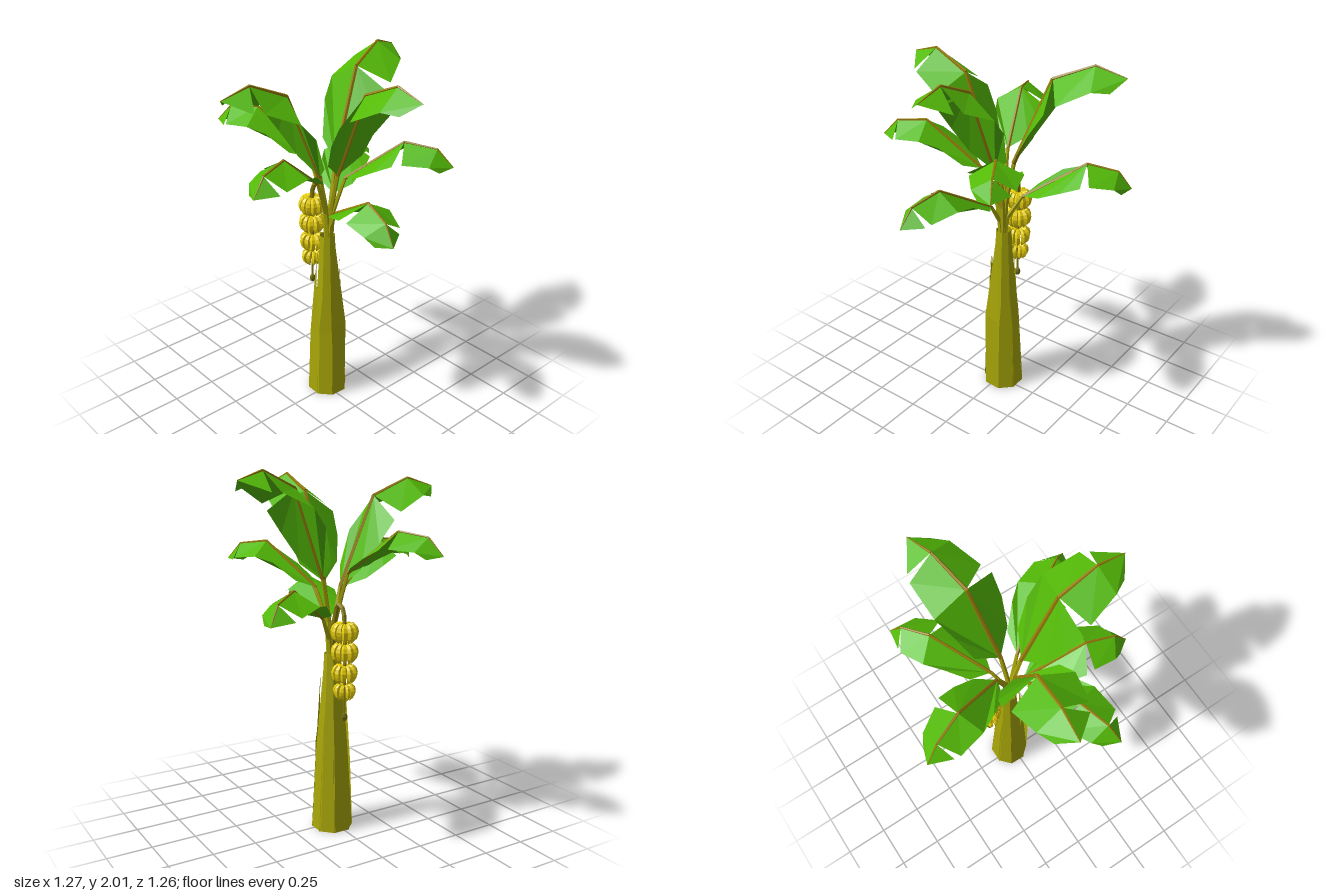
import * as THREE from 'three';

const V = (x, y, z) => new THREE.Vector3(x, y, z);
const mat = (name, color, side = THREE.FrontSide) => {
  const m = new THREE.MeshStandardMaterial({ color, side, flatShading: true });
  m.name = name;
  return m;
};

// Flat-sided surface from convex polygons, each drawn as a fan
function fanGeometry(polygons) {
  const pos = [];
  for (const p of polygons)
    for (let i = 1; i < p.length - 1; i++)
      for (const v of [p[0], p[i], p[i + 1]]) pos.push(v.x, v.y, v.z);
  const g = new THREE.BufferGeometry();
  g.setAttribute('position', new THREE.Float32BufferAttribute(pos, 3));
  g.computeVertexNormals();
  return g;
}

// Tube whose radius follows a list of values along the path
function taperTube(points, radii, segments, sides) {
  const curve = new THREE.CatmullRomCurve3(points);
  const g = new THREE.TubeGeometry(curve, segments, 1, sides);
  const pos = g.attributes.position, v = V(0, 0, 0);
  for (let i = 0; i <= segments; i++) {
    const c = curve.getPointAt(i / segments);
    const f = (i / segments) * (radii.length - 1);
    const k = Math.min(Math.floor(f), radii.length - 2);
    const r = THREE.MathUtils.lerp(radii[k], radii[k + 1], f - k);
    for (let j = 0; j <= sides; j++) {
      const n = i * (sides + 1) + j;
      v.fromBufferAttribute(pos, n).sub(c).multiplyScalar(r).add(c);
      pos.setXYZ(n, v.x, v.y, v.z);
    }
  }
  g.computeVertexNormals();
  return g;
}

export function createModel() {
  const root = new THREE.Group();
  const leafGreen = mat('leafGreen', 0x54ba06, THREE.DoubleSide);
  const barkOlive = mat('barkOlive', 0xa8a608, THREE.DoubleSide);
  const ribBrown = mat('ribBrown', 0x967c0c);
  const stemOlive = mat('stemOlive', 0x8a7e10);
  const fruitYellow = mat('fruitYellow', 0xe8d00a);
  const budOlive = mat('budOlive', 0x6e6a12);

  const add = (parent, name, geometry, material) => {
    const m = new THREE.Mesh(geometry, material);
    m.name = name;
    parent.add(m);
    return m;
  };
  const rod = (parent, name, a, b, ra, rb, material) => {
    const d = b.clone().sub(a);
    const m = add(parent, name, new THREE.CylinderGeometry(rb, ra, d.length(), 5), material);
    m.position.copy(a).addScaledVector(d, 0.5);
    m.quaternion.setFromUnitVectors(V(0, 1, 0), d.normalize());
  };

  // Trunk core, open at the bottom
  const trunk = new THREE.Group();
  trunk.name = 'trunk';
  trunk.position.set(-0.02, 0, -0.02);
  root.add(trunk);
  const core = add(trunk, 'trunkCore', new THREE.CylinderGeometry(0.043, 0.098, 1.02, 8, 1, true), barkOlive);
  core.position.y = 0.51;
  core.rotation.y = Math.PI / 8;

  // Overlapping flat pointed sheaths: [angle, half width, tip height, middle radius, tip radius]
  const sheaths = [
    [0.05, 0.42, 1.0, 0.118, 0.065], [0.85, 0.42, 0.86, 0.095, 0.075], [1.6, 0.42, 0.84, 0.102, 0.085],
    [2.4, 0.42, 1.02, 0.086, 0.05], [3.15, 0.44, 0.97, 0.086, 0.042], [3.95, 0.42, 1.02, 0.086, 0.05],
    [4.7, 0.44, 1.02, 0.088, 0.046], [5.5, 0.42, 0.9, 0.094, 0.065],
  ];
  for (const [a, w, h, midR, tipR] of sheaths) {
    const at = (t, r, y) => V(Math.cos(a + t) * r, y, Math.sin(a + t) * r);
    const left = at(-w, midR, h * 0.48), right = at(w, midR, h * 0.48);
    add(trunk, 'trunkSheath', fanGeometry([
      [at(-w, 0.116, 0), left, right, at(w, 0.116, 0)],
      [left, at(0, tipR, h), right],
    ]), barkOlive);
  }

  // Torn leaf blade: x runs outward, origin at the first bend of the rib
  const start = V(-0.2, -0.48, 0), bend1 = V(0, 0, 0), bend2 = V(0.21, 0.09, 0), tip = V(0.37, 0.045, 0);
  const leftMid = V(0.04, -0.09, -0.18), rightOuter = V(0.23, 0, 0.135);
  const blade = fanGeometry([
    // left side, torn before the tip
    [start, V(-0.14, -0.38, -0.12), V(-0.06, -0.19, -0.16), leftMid, bend1],
    [bend1, leftMid, V(0.22, -0.01, -0.145), bend2],
    [bend2, V(0.26, -0.01, -0.12), tip],
    // right side, torn at the first bend
    [bend1, V(0.02, -0.12, 0.19), V(-0.06, -0.24, 0.17), V(-0.14, -0.38, 0.12), start],
    [bend2, rightOuter, V(0.07, -0.08, 0.17), bend1],
    [tip, V(0.31, -0.01, 0.09), rightOuter, bend2],
  ]);

  // Leaves: [tip x, tip z, height of first bend, pitch in degrees, scale]
  const leaves = [
    [-0.17, -0.63, 1.91, 0, 1], [0.63, -0.02, 1.88, 0, 1], [-0.06, 0.605, 1.86, 0, 1],
    [0.55, -0.365, 1.61, 30, 0.75], [0.2, 0.63, 1.61, 30, 0.75], [-0.635, 0.24, 1.7, 30, 0.75],
    [-0.395, -0.585, 1.425, 37, 0.75], [0.63, 0.135, 1.385, 37, 0.75],
  ];
  const cx = -0.01, cz = -0.02;
  for (const [tx, tz, y, deg, s] of leaves) {
    const leaf = new THREE.Group();
    leaf.name = 'leaf';
    const pitch = THREE.MathUtils.degToRad(deg);
    const dx = tx - cx, dz = tz - cz, reach = Math.hypot(dx, dz);
    const r = reach - s * (tip.x * Math.cos(pitch) + tip.y * Math.sin(pitch));
    leaf.position.set(cx + dx / reach * r, y, cz + dz / reach * r);
    leaf.rotation.set(0, Math.atan2(-dz, dx), -pitch);
    leaf.scale.setScalar(s);
    leaf.updateMatrix();
    root.add(leaf);
    add(leaf, 'leafBlade', blade, leafGreen);
    rod(leaf, 'leafRib', start, bend1, 0.013, 0.01, ribBrown);
    rod(leaf, 'leafRib', bend1, bend2, 0.01, 0.007, ribBrown);
    rod(leaf, 'leafRib', bend2, tip, 0.007, 0.002, ribBrown);
    // Stalk bending down into the trunk
    const top = start.clone().applyMatrix4(leaf.matrix);
    const knee = V(cx + (top.x - cx) * 0.25, 1 + (top.y - 1) * 0.45, cz + (top.z - cz) * 0.25);
    rod(root, 'leafStalk', top, knee, 0.012 * s, 0.014, barkOlive);
    rod(root, 'leafStalk', knee, V(cx + dx * 0.01, 0.98, cz + dz * 0.01), 0.014, 0.018, barkOlive);
  }

  // Fruit bunch hanging from an arched stem
  const bx = -0.152, bz = -0.022;
  add(root, 'bunchStem', taperTube(
    [V(-0.02, 1.0, -0.02), V(-0.045, 1.2, -0.02), V(-0.09, 1.3, bz), V(-0.135, 1.28, bz), V(bx, 1.2, bz), V(bx, 0.95, bz), V(bx, 0.69, bz)],
    [0.014, 0.014, 0.013, 0.01, 0.005], 24, 6), stemOlive);
  const bud = add(root, 'bunchBud', new THREE.SphereGeometry(0.017, 6, 4), budOlive);
  bud.position.set(bx, 0.688, bz);
  bud.scale.y = 1.5;

  const banana = taperTube(
    [V(0.01, 0.03, 0), V(0.036, 0.042, 0), V(0.056, 0.022, 0), V(0.056, -0.018, 0), V(0.036, -0.062, 0)],
    [0.006, 0.013, 0.018, 0.016, 0.001], 8, 5);
  [[1.16, 1], [1.05, 0.99], [0.935, 0.95], [0.835, 0.82]].forEach(([y, s], tier) => {
    const hand = new THREE.Group();
    hand.name = 'bananaHand';
    hand.position.set(bx, y, bz);
    hand.scale.setScalar(s);
    root.add(hand);
    const count = 12 - tier;
    for (let i = 0; i < count; i++)
      add(hand, 'banana', banana, fruitYellow).rotation.y = (i / count) * Math.PI * 2 + tier * 0.3;
  });

  return root;
}
